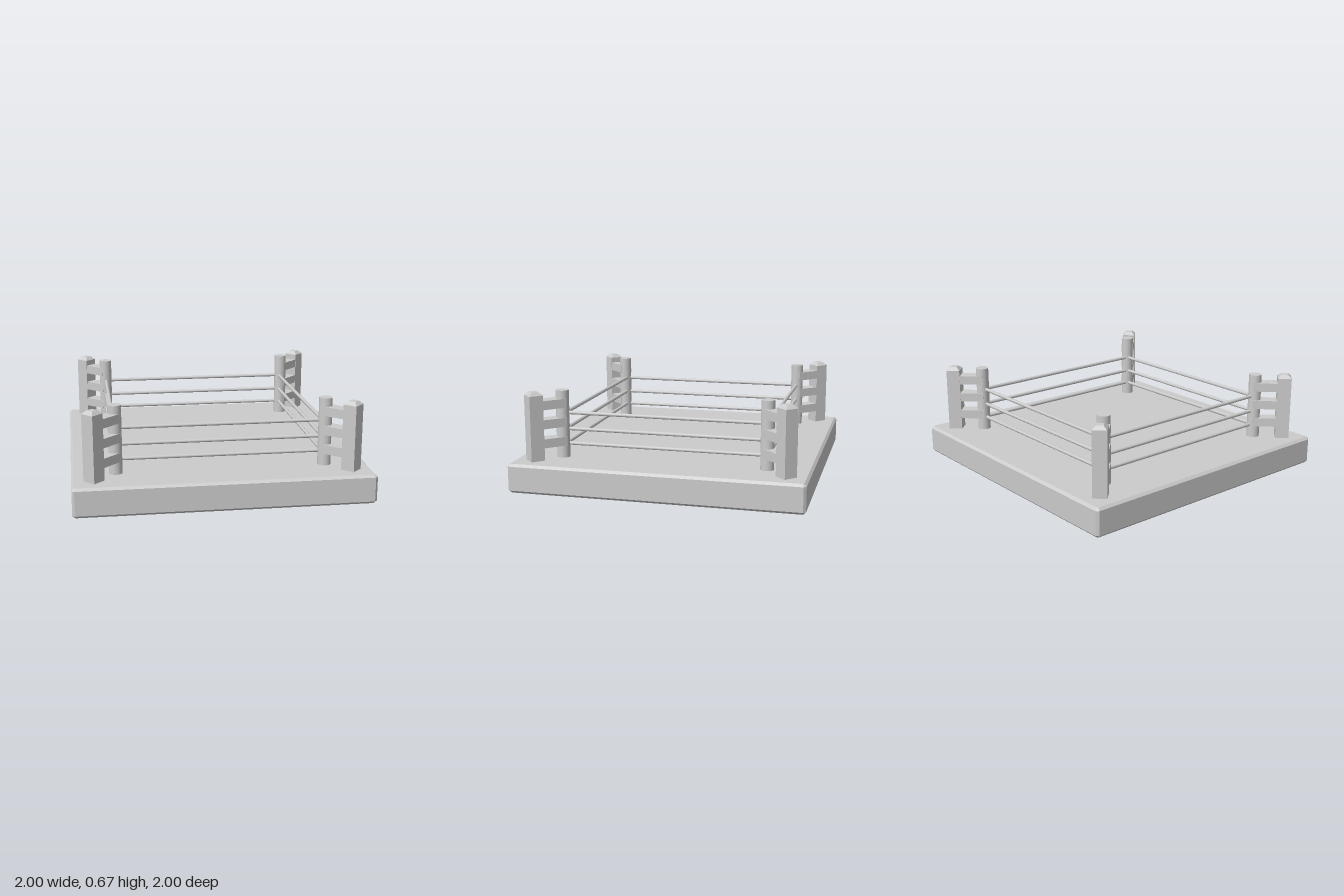
import * as THREE from 'three';

const material = new THREE.MeshStandardMaterial({ color: 0xcccccc });

function addMesh(parent, name, geometry, x = 0, y = 0, z = 0) {
  const mesh = new THREE.Mesh(geometry, material);
  mesh.name = name;
  mesh.position.set(x, y, z);
  parent.add(mesh);
  return mesh;
}

// Square block standing on y = 0; c cuts the upright edges, bevel the top and bottom ones
function chamferedBlock(width, height, c, bevel) {
  const h = width / 2;
  const points = [[h, c - h], [h, h - c], [h - c, h], [c - h, h], [-h, h - c], [-h, c - h], [c - h, -h], [h - c, -h]]
    .map(([x, y]) => new THREE.Vector2(x, y));
  return new THREE.ExtrudeGeometry(new THREE.Shape(points), {
    depth: height - 2 * bevel,
    bevelEnabled: true,
    bevelThickness: bevel,
    bevelSize: bevel,
    bevelOffset: -bevel,
    bevelSegments: 1,
  }).translate(0, 0, bevel).rotateX(-Math.PI / 2);
}

export function createModel() {
  const ring = new THREE.Group();
  ring.name = 'wrestlingRing';

  // Platform
  addMesh(ring, 'platform', chamferedBlock(2, 0.2, 0.017, 0.017));

  // Corners: outer square post, round inner pole and three pads along the diagonal
  const postShape = new THREE.Shape([[-1, -1], [1, -1], [1, 1], [-1, 1]]
    .map(([x, y]) => new THREE.Vector2(x * 0.048, y * 0.048)));
  const postGeometry = new THREE.ExtrudeGeometry(postShape, {
    depth: 0.47, bevelThickness: 0.024, bevelSize: 0.024, bevelOffset: -0.024, bevelSegments: 1,
  }).rotateX(-Math.PI / 2);
  const poleGeometry = new THREE.CylinderGeometry(0.045, 0.045, 0.485, 32);
  const padGeometry = new THREE.BoxGeometry(0.215, 0.062, 0.093);
  const poleDistance = 0.706 * Math.SQRT2;
  const postDistance = 0.853 * Math.SQRT2;
  for (let i = 0; i < 4; i++) {
    const corner = new THREE.Group();
    corner.name = 'corner';
    corner.rotation.y = Math.PI / 4 + i * Math.PI / 2;
    addMesh(corner, 'cornerPost', postGeometry, postDistance, 0.178, 0);
    addMesh(corner, 'ropePole', poleGeometry, poleDistance, 0.4225, 0);
    for (const y of [0.315, 0.447, 0.578]) {
      addMesh(corner, 'turnbucklePad', padGeometry, (poleDistance + postDistance) / 2 - 0.006, y, 0);
    }
    ring.add(corner);
  }

  // Ropes on all four sides
  const ropeGeometry = new THREE.CylinderGeometry(0.0125, 0.0125, 1.4, 12);
  for (const y of [0.292, 0.394, 0.506]) {
    for (const z of [-0.704, 0.69]) {
      addMesh(ring, 'rope', ropeGeometry, 0, y, z).rotation.z = Math.PI / 2;
    }
    for (const x of [-0.705, 0.692]) {
      addMesh(ring, 'rope', ropeGeometry, x, y, 0).rotation.x = Math.PI / 2;
    }
  }
  return ring;
}
